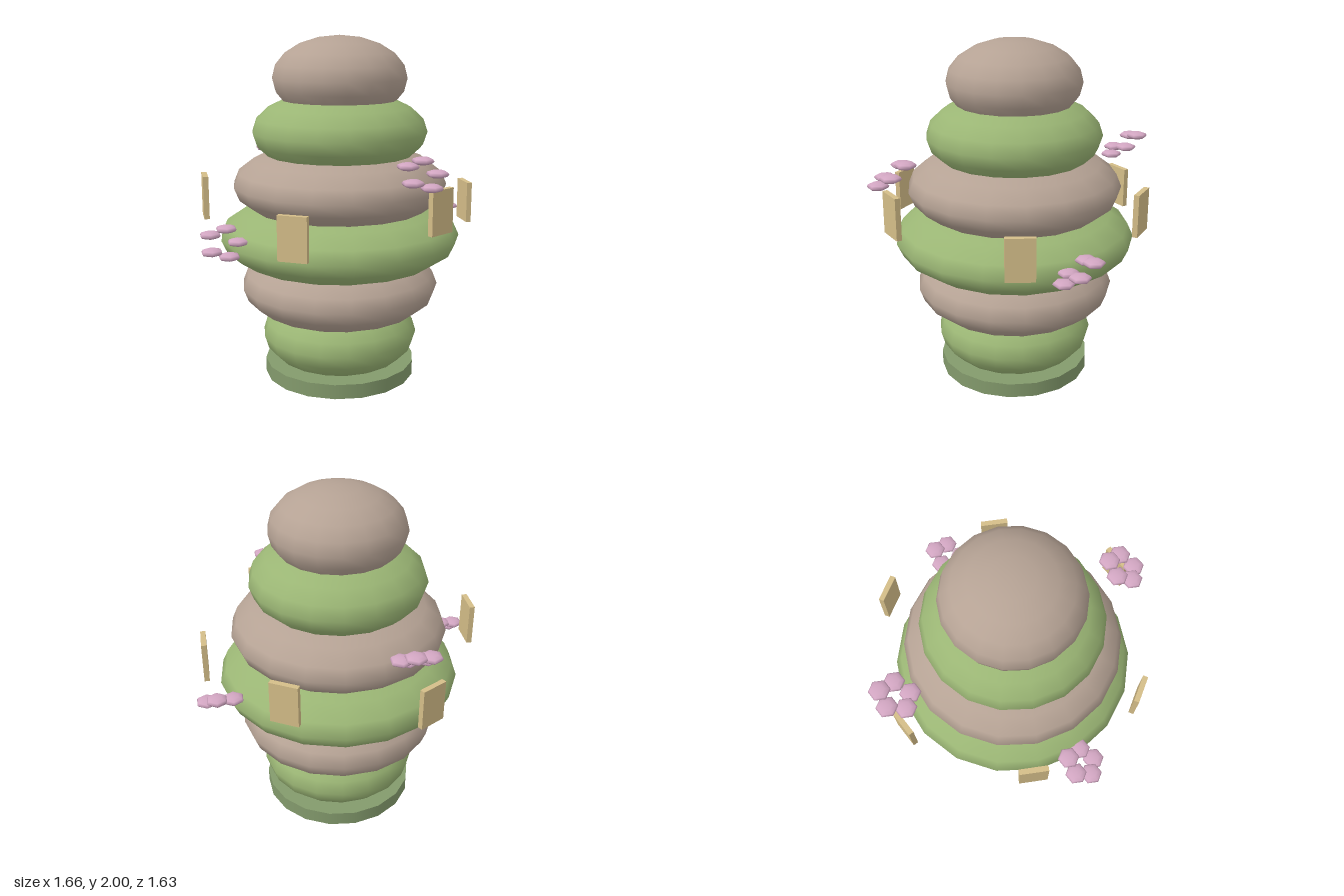
import * as THREE from 'three';

const mat = (name, color) => {
  const m = new THREE.MeshStandardMaterial({ color });
  m.name = name;
  return m;
};

export function createModel() {
  const taupe = mat('taupe stone', 0xb5a294);
  const moss = mat('moss green', 0x9ab574);
  const baseGreen = mat('base green', 0x839a6c);
  const wood = mat('pale wood', 0xd4bd88);
  const pink = mat('petal pink', 0xd2a6c2);

  const model = new THREE.Group();
  model.name = 'stackedStones';
  const stack = new THREE.Group();
  stack.name = 'stack';
  stack.position.x = -0.01;
  model.add(stack);

  const add = (parent, name, geometry, material, x = 0, y = 0, z = 0) => {
    const mesh = new THREE.Mesh(geometry, material);
    mesh.name = name;
    mesh.position.set(x, y, z);
    parent.add(mesh);
    return mesh;
  };

  // Low round plinth
  const plinth = add(stack, 'plinth', new THREE.CylinderGeometry(0.447, 0.447, 0.085, 18), baseGreen, 0, 0.0425, 0);
  plinth.rotation.y = THREE.MathUtils.degToRad(4);

  // Six overlapping flattened stones, alternating in colour
  [0.46, 0.58, 0.7, 0.62, 0.505, 0.386].forEach((radius, i) => {
    const geometry = new THREE.SphereGeometry(1, 18, 10);
    geometry.scale(radius, 0.24, radius);
    const stone = add(stack, `stone${i + 1}`, geometry, i % 2 ? taupe : moss, 0, 0.25 + i * 0.302, 0);
    stone.rotation.y = THREE.MathUtils.degToRad(4);
  });

  // Ring of floating tablets at two alternating heights
  const tabletGeometry = new THREE.BoxGeometry(0.03, 0.24, 0.16);
  for (let i = 0; i < 6; i++) {
    const a = (i * Math.PI) / 3;
    const tablet = add(stack, `tablet${i + 1}`, tabletGeometry, wood,
      Math.cos(a) * 0.776, i % 2 ? 1.115 : 1.015, Math.sin(a) * 0.776);
    tablet.rotation.y = -a;
  }

  // Blossoms: five flat hexagonal petals on a ring that slopes down to the front
  const petalGeometry = new THREE.SphereGeometry(0.061, 6, 6);
  petalGeometry.rotateY(Math.PI / 6);
  petalGeometry.scale(1, 0.36, 1);
  const blossoms = [
    [0.275, 1.315, 0.672],
    [-0.717, 0.912, 0.295],
    [-0.297, 1.315, -0.679],
    [0.694, 0.912, -0.303],
  ];
  blossoms.forEach(([x, y, z], i) => {
    const blossom = new THREE.Group();
    blossom.name = `blossom${i + 1}`;
    blossom.position.set(x, y, z);
    for (let k = 0; k < 5; k++) {
      const a = (k * Math.PI * 2) / 5;
      add(blossom, `petal${k + 1}`, petalGeometry, pink,
        Math.cos(a) * 0.08, -Math.sin(a) * 0.06, Math.sin(a) * 0.08);
    }
    model.add(blossom);
  });

  return model;
}
